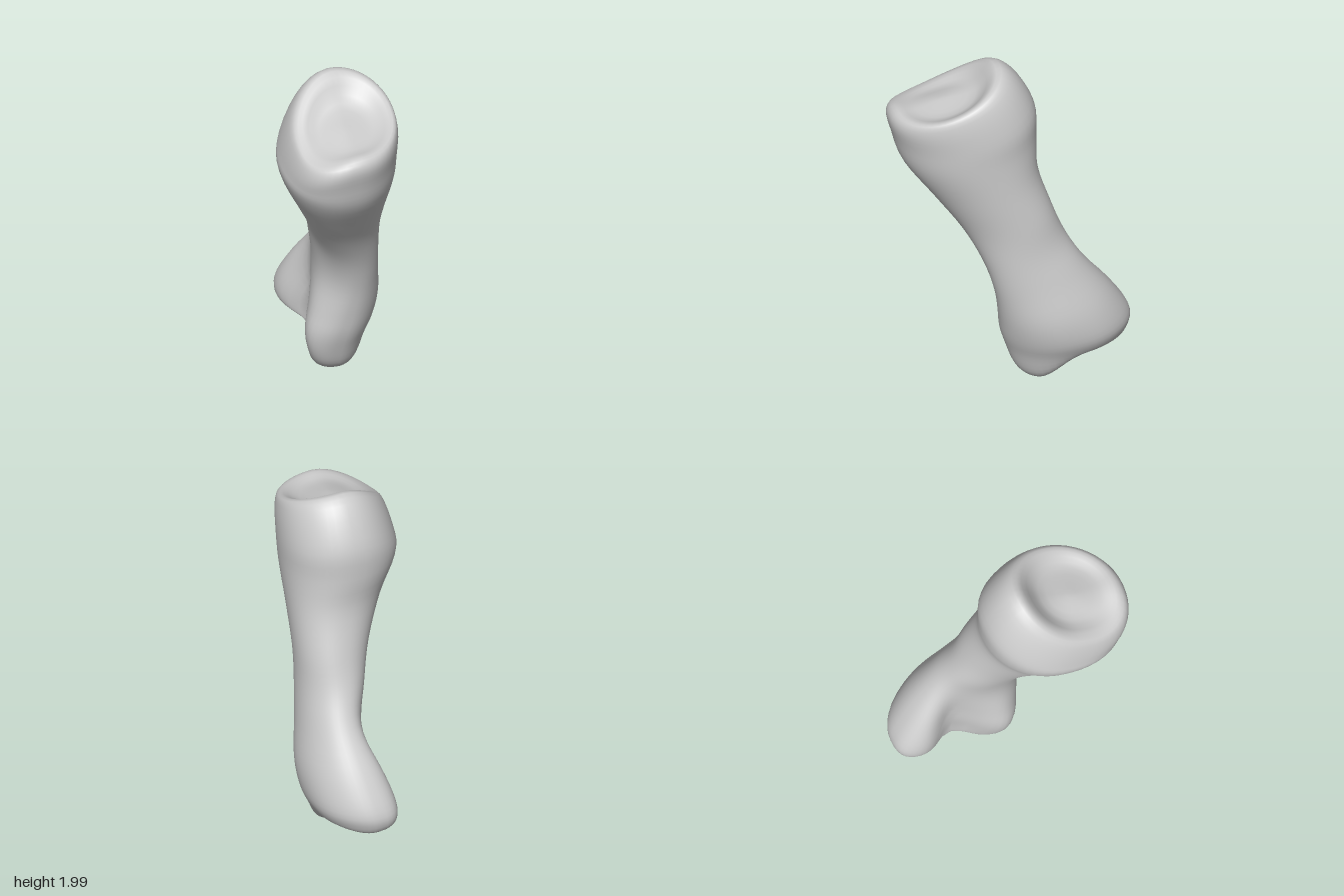
import * as THREE from 'three';
import { mergeVertices } from 'three/addons/utils/BufferGeometryUtils.js';

// Key sections from the upper joint surface down to the two lower knuckles:
// front z, front y, back z, back y, min x, max x, skew, groove depth, floor blend
const SECTIONS = [
  [0.36, 1.795, 0.36, 1.795, -0.05, -0.05, 0, 0, 0],
  [0.51, 1.755, 0.19, 1.85, -0.19, 0.11, -0.02, 0, 0],
  [0.61, 1.76, 0.08, 1.99, -0.30, 0.22, -0.03, 0, 0],
  [0.65, 1.70, -0.03, 1.93, -0.345, 0.26, -0.04, 0, 0],
  [0.625, 1.58, -0.13, 1.74, -0.365, 0.28, -0.045, 0, 0],
  [0.575, 1.42, -0.14, 1.55, -0.36, 0.28, -0.04, 0, 0],
  [0.42, 1.20, -0.135, 1.35, -0.25, 0.28, -0.04, 0, 0],
  [0.28, 1.00, -0.20, 1.12, -0.135, 0.287, -0.03, 0, 0],
  [0.18, 0.80, -0.27, 0.93, -0.06, 0.30, 0, 0.01, 0],
  [0.12, 0.60, -0.37, 0.75, -0.025, 0.33, 0, 0.04, 0],
  [0.09, 0.42, -0.53, 0.53, -0.05, 0.37, 0, 0.09, 0],
  [0.07, 0.29, -0.635, 0.35, -0.075, 0.365, 0, 0.12, 0],
  [0.035, 0.18, -0.64, 0.26, -0.07, 0.325, 0, 0.12, 0.1],
  [-0.015, 0.08, -0.59, 0.21, -0.035, 0.28, 0, 0.08, 0.7],
  [-0.08, 0.02, -0.50, 0.19, 0.02, 0.22, 0, 0.03, 1],
  [-0.24, 0.08, -0.24, 0.08, 0.1, 0.1, 0, 0, 1],
];
const AROUND = 48, STEPS = 4;
const { smoothstep, lerp, clamp } = THREE.MathUtils;

// Catmull-Rom blend of the section table at row position t
function sectionAt(t) {
  const last = SECTIONS.length - 1;
  const i = Math.min(Math.floor(t), last - 1), f = t - i;
  const row = k => SECTIONS[Math.max(0, Math.min(last, k))];
  return SECTIONS[0].map((_, c) => {
    const [p, q, r, s] = [row(i - 1)[c], row(i)[c], row(i + 1)[c], row(i + 2)[c]];
    return q + 0.5 * f * (r - p + f * (2 * p - 5 * q + 4 * r - s + f * (3 * (q - r) + s - p)));
  });
}

// Underside: deep front knuckle, saddle, higher back knuckle
function floorY(x, z) {
  const front = Math.max(0, z + 0.13);
  return smoothstep(-z, 0.11, 0.38) * 0.165 + 3 * front * front
    + 2.3 * (x - 0.1) ** 2 + 0.12 * Math.max(0, -z - 0.38);
}

function boneGeometry() {
  const positions = [], index = [];
  const rings = (SECTIONS.length - 1) * STEPS;
  for (let i = 0; i <= rings; i++) {
    const [zf, yf, zb, yb, x0, x1, skew, groove, floor] = sectionAt(i / STEPS);
    const head = smoothstep(yf, 1.4, 1.7), foot = 1 - smoothstep(yf, 0.25, 0.7);
    const sag = 0.13 * head * Math.min(1, ((x1 - x0) / 0.52) ** 2);
    const bow = 0.05 * foot * Math.min(1, (x1 - x0) / 0.4);
    for (let j = 0; j < AROUND; j++) {
      const a = j / AROUND * Math.PI * 2, c = Math.cos(a), s = Math.sin(a);
      // oval on one side, squarer at both ends on the other
      const power = c > 0 ? 0.97 : 0.92 - 0.05 * head - 0.16 * foot;
      const square = v => Math.sign(v) * Math.abs(v) ** power;
      const z = (zf + zb) / 2 + (zf - zb) / 2 * square(s);
      let x = (x0 + x1) / 2 + (x1 - x0) / 2 * square(c) + skew * s - bow * s * s;
      // groove between the knuckles, with the front knuckle swelling beside it
      const dent = Math.exp(-(((z + 0.3) / 0.125) ** 2)) - 0.4 * Math.exp(-(((z + 0.01) / 0.1) ** 2));
      x -= groove * dent * c * (c < 0 ? 1 : 0.05);
      // the joint rim sags on one side
      let y = (yf + yb) / 2 + (yf - yb) / 2 * square(s) - sag * Math.abs(c) ** 1.5 * (c < 0 ? 1 : 0.2);
      y = lerp(y, floorY(x, z), clamp(floor, 0, 1));
      positions.push(x, Math.max(0, y), z);
      if (i < rings) {
        const p = i * AROUND + j, q = i * AROUND + (j + 1) % AROUND;
        index.push(p, q, p + AROUND, q, q + AROUND, p + AROUND);
      }
    }
  }
  let geometry = new THREE.BufferGeometry();
  geometry.setAttribute('position', new THREE.Float32BufferAttribute(positions, 3));
  geometry.setIndex(index);
  geometry = mergeVertices(geometry, 1e-5);
  geometry.computeVertexNormals();
  return geometry;
}

export function createModel() {
  const group = new THREE.Group();
  group.name = 'fingerBone';
  const bone = new THREE.Mesh(boneGeometry(), new THREE.MeshStandardMaterial({ color: 0xcccccc }));
  bone.name = 'bone';
  group.add(bone);
  return group;
}
